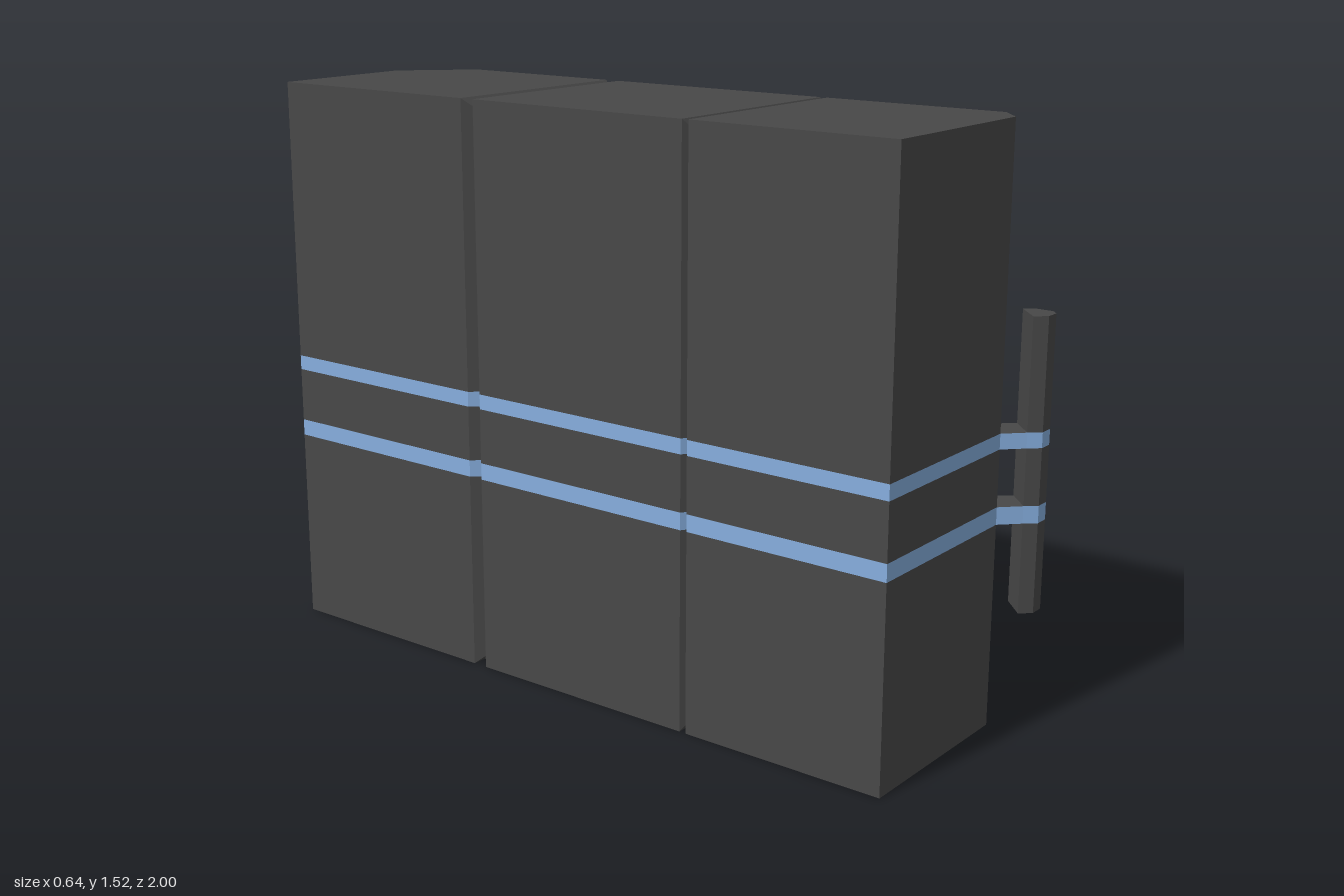
import * as THREE from 'three';

const dark = new THREE.MeshStandardMaterial({ color: 0x484848, flatShading: true });
const blue = new THREE.MeshStandardMaterial({ color: 0x86aede, flatShading: true });

const LEFT = -0.32, RIGHT = 0.257, TOP = 1.525;
// Heights where the wall colour or opening changes; bands 1 and 3 are stripes
const LEVELS = [0, 0.53, 0.575, 0.722, 0.762, 1.165, 1.5, TOP];
const isStripe = (band) => band === 1 || band === 3;
const WINDOW = { z0: 0.32, z1: -0.28, y0: 1.165, y1: 1.5, depth: 0.04 };

// Cross-sections from front to back: z, right edge, inset (grooves)
const STATIONS = [
  [0.925, 0.19, 0], [0.865, RIGHT, 0],
  [0.362, RIGHT, 0], [0.354, RIGHT, 0.018], [0.343, RIGHT, 0],
  [WINDOW.z0, RIGHT, 0], [WINDOW.z1, RIGHT, 0],
  [-0.313, RIGHT, 0], [-0.333, RIGHT, 0.02], [-0.355, RIGHT, 0],
  [-0.838, RIGHT, 0], [-1, 0.09, 0],
];

function meshFromQuads(name, quads, material) {
  const positions = quads.flatMap(([a, b, c, d]) => [a, b, c, a, c, d].flat());
  const geometry = new THREE.BufferGeometry();
  geometry.setAttribute('position', new THREE.Float32BufferAttribute(positions, 3));
  geometry.computeVertexNormals();
  const mesh = new THREE.Mesh(geometry, material);
  mesh.name = name;
  return mesh;
}

// Cabinet: one loft from front to back, with walls sorted by colour
function createCabinet() {
  const group = new THREE.Group();
  group.name = 'cabinet';
  const panels = [], stripes = [];
  const sections = STATIONS.map(([z, right, inset]) => {
    const heights = LEVELS.map((y) => THREE.MathUtils.clamp(y, inset, TOP - inset));
    return {
      z,
      right: heights.map((y) => [right - inset, y, z]),
      left: heights.map((y) => [LEFT + inset, y, z]),
    };
  });
  const last = LEVELS.length - 1;

  for (let s = 0; s < sections.length - 1; s++) {
    const a = sections[s], b = sections[s + 1];
    for (let i = 0; i < last; i++) {
      const target = isStripe(i) ? stripes : panels;
      const opening = a.z === WINDOW.z0 && LEVELS[i] === WINDOW.y0;
      if (!opening) target.push([a.right[i], b.right[i], b.right[i + 1], a.right[i + 1]]);
      target.push([a.left[i + 1], b.left[i + 1], b.left[i], a.left[i]]);
    }
    panels.push([a.right[last], b.right[last], b.left[last], a.left[last]]);
    panels.push([a.left[0], b.left[0], b.right[0], a.right[0]]);
  }

  // Front and back walls
  const f = sections[0], r = sections[sections.length - 1];
  for (let i = 0; i < last; i++) {
    const target = isStripe(i) ? stripes : panels;
    target.push([f.right[i], f.right[i + 1], f.left[i + 1], f.left[i]]);
    target.push([r.left[i], r.left[i + 1], r.right[i + 1], r.right[i]]);
  }
  group.add(meshFromQuads('panels', panels, dark), meshFromQuads('stripes', stripes, blue));
  return group;
}

// Window: reveal walls around a recessed pane
function createWindow() {
  const group = new THREE.Group();
  group.name = 'window';
  const { z0, z1, y0, y1, depth } = WINDOW;
  const corners = [[y0, z0], [y0, z1], [y1, z1], [y1, z0]];
  const outer = corners.map(([y, z]) => [RIGHT, y, z]);
  const inner = corners.map(([y, z]) => [RIGHT - depth, y, z]);
  const reveal = corners.map((_, i) => {
    const j = (i + 1) % 4;
    return [outer[i], outer[j], inner[j], inner[i]];
  });
  group.add(meshFromQuads('windowReveal', reveal, dark), meshFromQuads('windowPane', [inner], blue));
  return group;
}

// Upright prism from a plan outline of [x, z] points
function prism(name, plan, y0, y1, sideMaterial) {
  const shape = new THREE.Shape(plan.map(([x, z]) => new THREE.Vector2(x, -z)));
  const geometry = new THREE.ExtrudeGeometry(shape, { depth: y1 - y0, bevelEnabled: false });
  geometry.rotateX(-Math.PI / 2).translate(0, y0, 0);
  const mesh = new THREE.Mesh(geometry, [dark, sideMaterial]);
  mesh.name = name;
  return mesh;
}

// Handle: striped bar on two brackets at the chamfered front corner
function createHandle() {
  const group = new THREE.Group();
  group.name = 'handle';
  const bar = [[0.238, 0.972], [0.3, 0.912], [0.32, 0.932], [0.32, 0.983], [0.302, 1], [0.264, 1]];
  const bracket = [[0.19, 0.925], [0.257, 0.865], [0.3, 0.912], [0.238, 0.972]];
  const levels = [0.295, ...LEVELS.slice(1, 5), 1.05];
  for (let i = 0; i < levels.length - 1; i++) {
    group.add(prism('handleBar', bar, levels[i], levels[i + 1], isStripe(i) ? blue : dark));
    if (isStripe(i)) group.add(prism('handleBracket', bracket, levels[i], levels[i + 1], blue));
  }
  return group;
}

export function createModel() {
  const model = new THREE.Group();
  model.name = 'stripedCabinet';
  model.add(createCabinet(), createWindow(), createHandle());
  return model;
}
